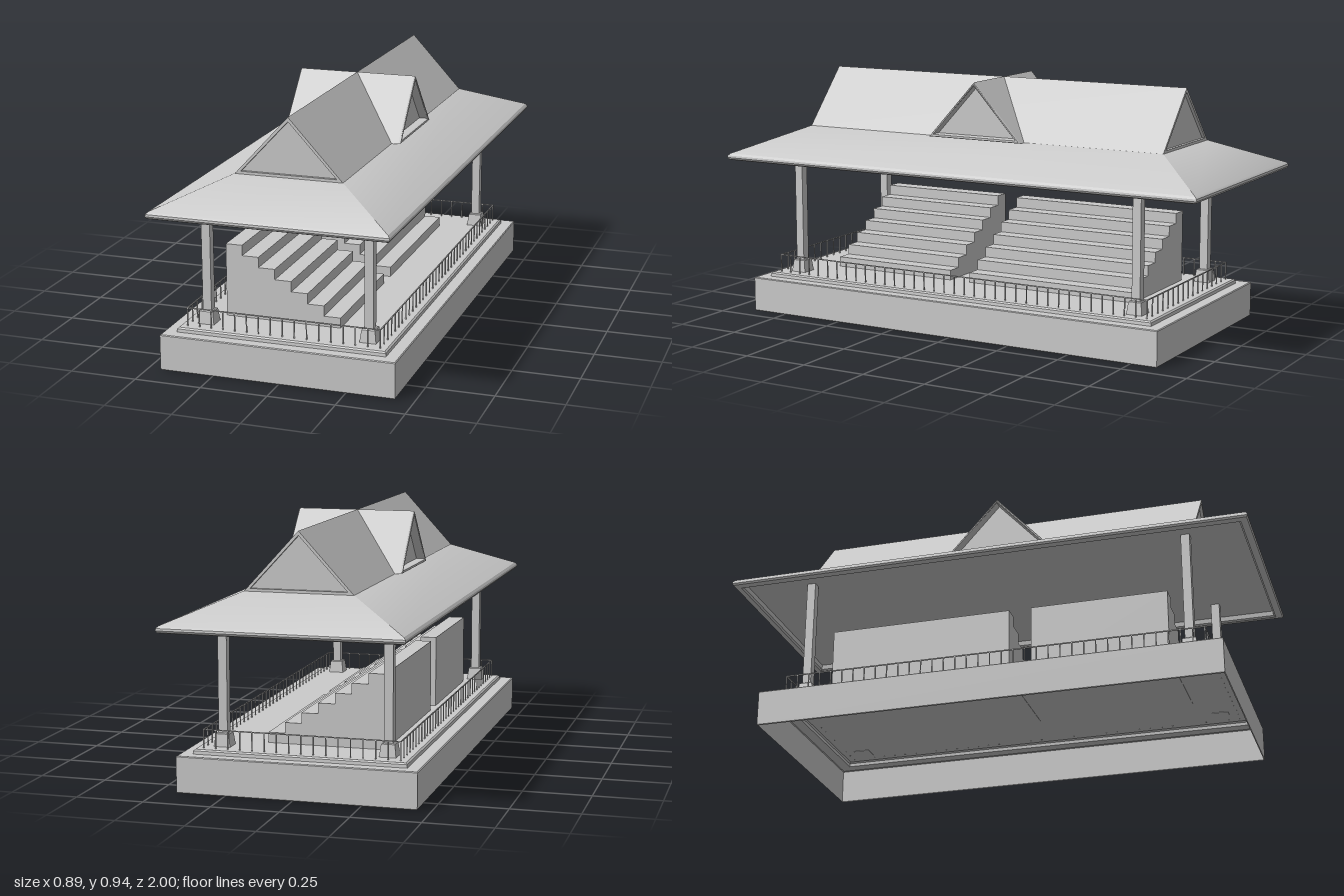
import * as THREE from 'three';
import { mergeGeometries, toCreasedNormals } from 'three/addons/utils/BufferGeometryUtils.js';

const CX = -0.01, CZ = 0.0175; // centre of the platform

export function createModel() {
  const model = new THREE.Group();
  const solid = new THREE.MeshStandardMaterial({ color: 0xcccccc });
  const shell = new THREE.MeshStandardMaterial({ color: 0xcccccc, side: THREE.DoubleSide });

  function add(name, geometry, material = solid, parent = model) {
    const mesh = new THREE.Mesh(geometry, material);
    mesh.name = name;
    parent.add(mesh);
    return mesh;
  }

  // Rectangular rings [halfX, halfZ, y] joined from first to last
  function loft(rings, capStart, capEnd) {
    const pos = [];
    const signs = [[1, 1], [1, -1], [-1, -1], [-1, 1]];
    const pt = (r, i) => [r[0] * signs[i % 4][0], r[2], r[1] * signs[i % 4][1]];
    const quad = (a, b, c, d) => pos.push(...a, ...b, ...c, ...a, ...c, ...d);
    for (let k = 0; k + 1 < rings.length; k++) {
      const a = rings[k], b = rings[k + 1];
      for (let i = 0; i < 4; i++) quad(pt(a, i), pt(a, i + 1), pt(b, i + 1), pt(b, i));
    }
    const s = rings[0], e = rings[rings.length - 1];
    if (capStart) quad(pt(s, 3), pt(s, 2), pt(s, 1), pt(s, 0));
    if (capEnd) quad(pt(e, 0), pt(e, 1), pt(e, 2), pt(e, 3));
    const g = new THREE.BufferGeometry();
    g.setAttribute('position', new THREE.Float32BufferAttribute(pos, 3));
    g.computeVertexNormals();
    return g;
  }

  const box = (w, h, d, x, y, z) => new THREE.BoxGeometry(w, h, d).translate(x, y, z);

  // Hollow base with a raised floor, open underneath
  add('base', loft([
    [0.437, 0.87, 0], [0.44, 0.873, 0.003], [0.44, 0.873, 0.132], [0.437, 0.87, 0.135],
    [0.393, 0.828, 0.135], [0.392, 0.827, 0.147], [0.386, 0.821, 0.152],
  ], false, true).translate(CX, 0, CZ), shell);

  // Stepped seating, two blocks
  const steps = new THREE.Shape();
  steps.moveTo(-0.28, 0.15);
  for (let i = 0; i < 7; i++) {
    const y = 0.426 - i * 0.0393;
    steps.lineTo(-0.28 + i * 0.0625, y);
    steps.lineTo(-0.28 + (i + 1) * 0.0625, y);
  }
  steps.lineTo(0.1575, 0.15);
  for (const [name, z0, z1] of [['frontSeating', 0.15, 0.668], ['backSeating', -0.635, 0.065]]) {
    add(name, new THREE.ExtrudeGeometry(steps, { depth: z1 - z0, bevelEnabled: false }).translate(0, 0, z0));
  }

  // Four posts on tapered footings
  for (const sx of [-1, 1]) {
    for (const sz of [-1, 1]) {
      const post = new THREE.Group();
      post.name = 'post';
      post.position.set(CX + sx * 0.306, 0, CZ + sz * 0.734);
      model.add(post);
      add('postShaft', box(0.033, 0.45, 0.033, 0, 0.4, 0), solid, post);
      add('postFooting', loft([[0.031, 0.031, 0.15], [0.025, 0.025, 0.198], [0.022, 0.022, 0.201]], true, true), solid, post);
    }
  }

  // Railing around the floor
  const hx = 0.3625, hz = 0.7975, thin = 0.004, bars = [];
  const bar = (x, z) => bars.push(box(thin, 0.07, thin, CX + x, 0.186, CZ + z));
  for (const s of [-1, 1]) {
    const nx = 16, nz = 36;
    for (let i = 0; i <= nx; i++) bar(-hx + (2 * hx * i) / nx, s * hz);
    for (let i = 1; i < nz; i++) bar(s * hx, -hz + (2 * hz * i) / nz);
    bars.push(box(2 * hx, thin, thin, CX, 0.22, CZ + s * hz));
    bars.push(box(thin, thin, 2 * hz, CX + s * hx, 0.22, CZ));
  }
  add('railing', mergeGeometries(bars));

  // Lower hipped roof with a rounded eave and a flat ceiling
  add('lowerRoof', toCreasedNormals(loft([
    [0.405, 0.962, 0.62], [0.408, 0.965, 0.602], [0.415, 0.972, 0.597], [0.428, 0.986, 0.597],
    [0.438, 0.996, 0.601], [0.442, 1, 0.608], [0.441, 0.999, 0.616], [0.434, 0.991, 0.624],
    [0.202, 0.766, 0.722],
  ], true, true), 0.45));

  // Triangular gable roof with recessed end panels, running along z
  function gable(name, half, y0, length, recess, bevel) {
    const y1 = 0.94;
    const triangle = (Type, w, low, high) => new Type([
      new THREE.Vector2(-w, low), new THREE.Vector2(w, low), new THREE.Vector2(0, high)]);
    const frame = triangle(THREE.Shape, half, y0, y1);
    const inner = [half - 0.024, y0 + 0.012, y1 - 0.016];
    frame.holes.push(triangle(THREE.Path, ...inner));
    const group = new THREE.Group();
    group.name = name;
    model.add(group);
    const depth = length - 2 * bevel;
    add(name + 'Cover', new THREE.ExtrudeGeometry(frame, {
      depth, bevelEnabled: bevel > 0, bevelThickness: bevel, bevelSize: bevel / 2,
      bevelOffset: -bevel / 2, bevelSegments: 2,
    }).translate(0, 0, -depth / 2), shell, group);
    const panel = length - 2 * recess;
    add(name + 'Panels', new THREE.ExtrudeGeometry(triangle(THREE.Shape, ...inner), {
      depth: panel, bevelEnabled: false }).translate(0, 0, -panel / 2), solid, group);
    return group;
  }
  gable('mainGable', 0.202, 0.72, 1.53, 0.012, 0);
  const cross = gable('crossGable', 0.198, 0.722, 0.462, 0.035, 0.008);
  cross.rotation.y = Math.PI / 2;
  cross.position.x = 0.003;

  return model;
}
